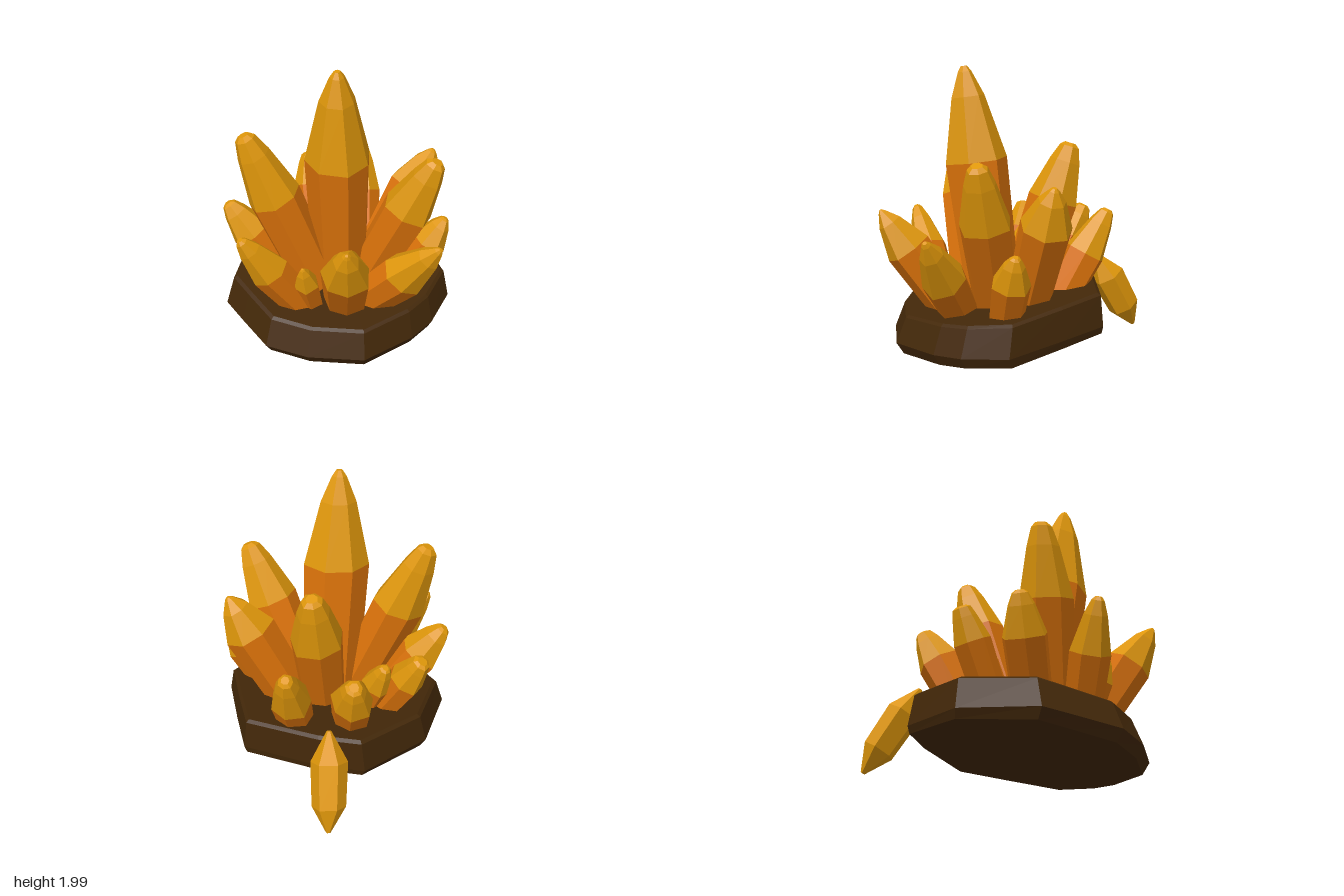
import * as THREE from 'three';

const mat = (name, color) => {
  const m = new THREE.MeshStandardMaterial({ color, flatShading: true });
  m.name = name;
  return m;
};

// Joins rings of points with flat faces and closes both ends
function loft(rings) {
  const pos = [];
  const tri = (...pts) => pts.forEach((p) => pos.push(p.x, p.y, p.z));
  const n = rings[0].length;
  const centre = (r) => r.reduce((s, p) => s.add(p), new THREE.Vector3()).divideScalar(n);
  const first = rings[0], last = rings[rings.length - 1];
  const c0 = centre(first), c1 = centre(last);
  for (let k = 0; k < n; k++) {
    const j = (k + 1) % n;
    for (let i = 0; i < rings.length - 1; i++) {
      const a = rings[i], b = rings[i + 1];
      tri(a[k], a[j], b[j]);
      tri(a[k], b[j], b[k]);
    }
    tri(c0, first[j], first[k]);
    tri(c1, last[k], last[j]);
  }
  const g = new THREE.BufferGeometry();
  g.setAttribute('position', new THREE.Float32BufferAttribute(pos, 3));
  g.computeVertexNormals();
  return g;
}

// Slightly irregular polygon at right angles to an axis
function ring(c, axis, r, sides, seed) {
  const d = axis.clone().normalize();
  const u = new THREE.Vector3(0, 0, 1).addScaledVector(d, -d.z).normalize();
  const v = d.clone().cross(u);
  return Array.from({ length: sides }, (_, k) => {
    const a = (k / sides) * Math.PI * 2 + seed * 0.7;
    const q = r * (1.04 + 0.06 * Math.sin(k * 2.4 + seed * 1.7));
    return c.clone().addScaledVector(u, Math.cos(a) * q).addScaledVector(v, Math.sin(a) * q);
  });
}

// Rings from one point to another; each stop is [fraction along, radius]
function column(from, to, stops, sides, seed) {
  const axis = to.clone().sub(from);
  return loft(stops.map(([k, r]) => ring(from.clone().lerp(to, k), axis, r, sides, seed)));
}

// Per crystal: foot x, z; tip x, y, z; radius; shoulder fraction; blunt end radius
const FOOT_Y = 0.25;
const CRYSTALS = {
  mainCrystal: [-0.03, 0.0, 0.08, 1.995, 0.19, 0.215, 0.625, 0.03],
  tallFrontRightCrystal: [-0.09, 0.18, -0.48, 1.515, 0.49, 0.18, 0.62, 0.055],
  tallBackRightCrystal: [-0.1, -0.13, -0.32, 1.455, -0.46, 0.175, 0.665, 0.055],
  tallLeftCrystal: [0.11, -0.08, 0.63, 1.37, -0.18, 0.175, 0.64, 0.055],
  backLeftCrystal: [0.04, -0.26, 0.36, 1.22, -0.6, 0.175, 0.72, 0.02],
  frontLeftCrystal: [0.17, 0.23, 0.48, 1.01, 0.64, 0.16, 0.64, 0.015],
  leftCrystal: [0.25, 0.12, 0.84, 0.895, 0.08, 0.155, 0.54, 0.02],
  frontCrystal: [-0.04, 0.42, -0.28, 0.92, 0.8, 0.13, 0.56, 0.03],
  frontSpike: [0.02, 0.4, 0.06, 0.695, 0.57, 0.085, 0.62, 0.012],
  frontRightCrystal: [-0.3, 0.26, -0.67, 0.935, 0.5, 0.145, 0.65, 0.04],
  rightCrystal: [-0.43, 0.07, -0.8, 0.92, 0.1, 0.12, 0.69, 0.05],
  smallRightCrystal: [-0.34, 0.03, -0.6, 0.83, -0.04, 0.105, 0.66, 0.03],
  sideBackRightCrystal: [-0.4, -0.17, -0.69, 0.95, -0.45, 0.14, 0.68, 0.045],
  backCrystal: [-0.12, -0.42, -0.36, 0.985, -0.74, 0.14, 0.58, 0.04],
  sideBackLeftCrystal: [0.35, -0.25, 0.59, 0.8, -0.43, 0.13, 0.64, 0.025],
};

// Rim of the rock, as x and z pairs
const RIM = [
  [-0.1, 0.8], [0.2, 0.71], [0.53, 0.5], [0.68, 0.12], [0.71, -0.1], [0.66, -0.42], [0.3, -0.65],
  [0, -0.83], [-0.52, -0.6], [-0.78, -0.42], [-0.85, 0.15], [-0.62, 0.64], [-0.4, 0.71],
];

export function createModel() {
  const group = new THREE.Group();
  const brown = mat('darkBrown', 0x432809);
  const orange = mat('orange', 0xdc730a);
  const amber = mat('amber', 0xde960a);
  const add = (parent, name, geo, material) => {
    const m = new THREE.Mesh(geo, material);
    m.name = name;
    parent.add(m);
  };

  // Tilted rock slab: bottom, widest, upper and top rings
  const slab = (s, h, dx, dz, slope) => RIM.map(([x, z]) =>
    new THREE.Vector3(x * s + dx, h - slope * (0.09 * x + 0.1 * z), z * s + dz));
  add(group, 'rockBase', loft([
    slab(0.96, 0.1, -0.01, -0.02, 0.95),
    slab(1, 0.165, 0, 0, 0.8),
    slab(0.94, 0.363, -0.01, -0.025, 1),
    slab(0.91, 0.38, -0.01, -0.025, 1),
  ]), brown);

  // Crystals: orange shaft below, amber point above
  Object.entries(CRYSTALS).forEach(([name, [fx, fz, x, y, z, r, shoulder, blunt]], i) => {
    const foot = new THREE.Vector3(fx, FOOT_Y, fz), tip = new THREE.Vector3(x, y, z);
    const sides = r < 0.1 ? 5 : 7;
    const up = (k) => THREE.MathUtils.lerp(shoulder, 1, k);
    const crystal = new THREE.Group();
    crystal.name = name;
    add(crystal, 'shaft', column(foot, tip, [[0, r * 0.88], [shoulder, r]], sides, i), orange);
    add(crystal, 'point', column(foot, tip, [
      [shoulder, r], [up(0.68), r * 0.47 + blunt * 0.45], [up(0.94), r * 0.08 + blunt], [1, blunt * 0.7],
    ], sides, i), amber);
    group.add(crystal);
  });

  // Loose double-pointed shard beside the rock
  add(group, 'looseShard', column(
    new THREE.Vector3(-0.83, 0.012, -0.82), new THREE.Vector3(-0.59, 0.6, -0.575),
    [[0, 0.015], [0.26, 0.11], [0.7, 0.12], [1, 0.015]], 6, 2), amber);

  return group;
}
